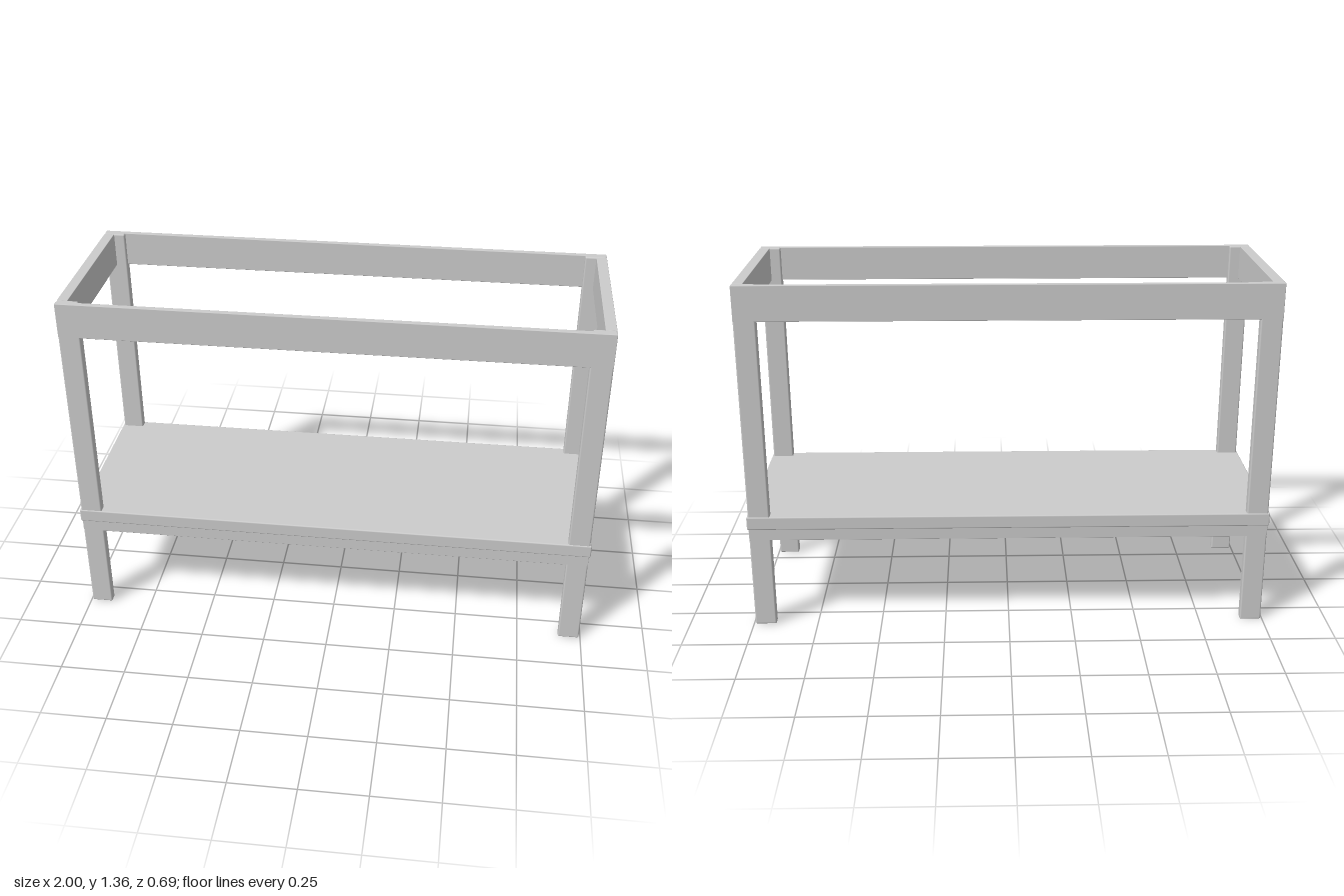
import * as THREE from 'three';
import { RoundedBoxGeometry } from 'three/addons/geometries/RoundedBoxGeometry.js';

const X = 0.994, Z = 0.341; // outer half-extents of the frame
const TOP = 1.355;

export function createModel() {
  const model = new THREE.Group();
  const material = new THREE.MeshStandardMaterial({ color: 0xcccccc });

  // softened board given by its size, centre height and plan position
  const board = (name, w, h, d, x, y, z, r = 0.004) => {
    const mesh = new THREE.Mesh(new RoundedBoxGeometry(w, h, d, 2, r), material);
    mesh.name = name;
    mesh.position.set(x, y, z);
    model.add(mesh);
  };

  const legW = 0.082, legD = 0.036;
  const railT = 0.021, sideT = 0.04;

  // four legs, wide face to the front and back
  for (const sx of [-1, 1]) {
    for (const sz of [-1, 1]) {
      board('leg', legW, TOP, legD, sx * (X - legW / 2), TOP / 2, sz * (Z - legD / 2), 0.006);
    }
  }

  // upper and lower aprons: long rails run full length, side rails sit between legs
  for (const [level, y0, y1] of [['upper', 1.222, TOP], ['lower', 0.36, 0.43]]) {
    const h = y1 - y0, y = (y0 + y1) / 2;
    for (const s of [-1, 1]) {
      board(level + 'LongRail', 2 * X, h, railT, 0, y, s * (Z - railT / 2), 0.002);
      board(level + 'SideRail', sideT, h, 2 * (Z - legD) + 0.004, s * (X - sideT / 2), y, 0, 0.002);
    }
  }

  // shelf, overhanging the frame slightly
  board('shelf', 2, 0.052, 0.688, 0, 0.43, 0, 0.005);

  return model;
}
